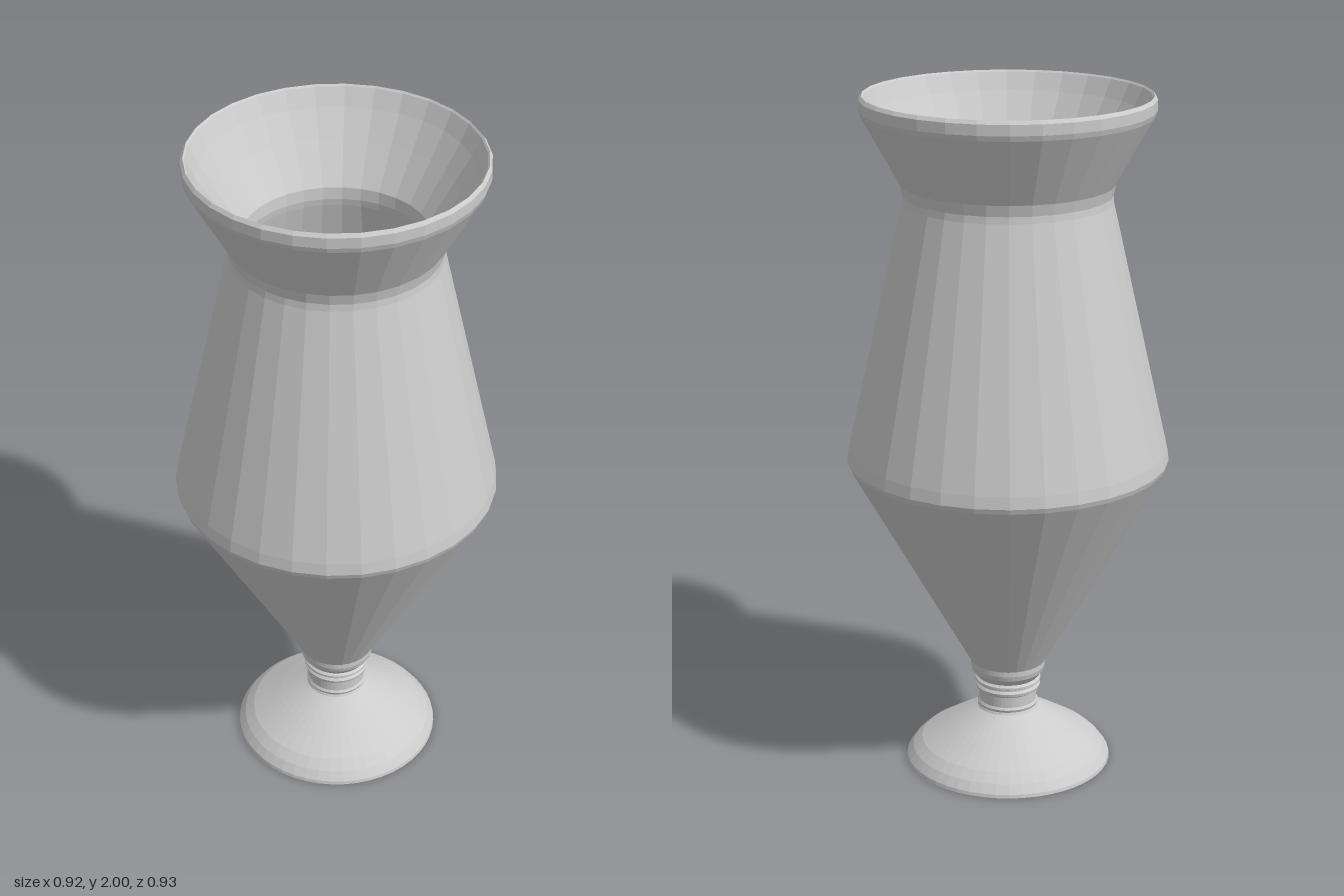
import * as THREE from 'three';

const SIDES = 30;

// Revolve a list of [radius, height] points around the y axis.
function turned(name, points, sides = SIDES) {
  const material = new THREE.MeshStandardMaterial({
    color: 0xcccccc, flatShading: true, side: THREE.DoubleSide,
  });
  const profile = points.map(([r, y]) => new THREE.Vector2(r, y));
  const mesh = new THREE.Mesh(new THREE.LatheGeometry(profile, sides), material);
  mesh.name = name;
  return mesh;
}

export function createModel() {
  const vase = new THREE.Group();
  vase.name = 'vase';

  // Domed foot with a flat underside
  vase.add(turned('foot', [
    [0, 0], [0.305, 0], [0.303, 0.01], [0.285, 0.035], [0.258, 0.06],
    [0.175, 0.112], [0.09, 0.162], [0.083, 0.175], [0, 0.175],
  ], 48));

  // Short stem with two narrow rings
  vase.add(turned('stem', [
    [0.087, 0.17], [0.09, 0.178], [0.085, 0.185], [0.085, 0.217], [0.094, 0.223],
    [0.096, 0.232], [0.09, 0.239], [0.09, 0.243], [0.097, 0.247],
    [0.097, 0.253], [0.09, 0.259], [0.106, 0.28], [0.11, 0.295], [0.11, 0.315],
  ], 48));

  // Hollow body: outer wall up to the rim, then the inner wall down to the floor
  vase.add(turned('body', [
    [0.11, 0.31], [0.46, 0.935], [0.465, 0.95], [0.46, 0.985],
    [0.297, 1.7], [0.295, 1.72], [0.302, 1.752],
    [0.408, 1.945], [0.413, 1.96], [0.413, 1.99], [0.405, 2],
    [0.4, 1.995], [0.375, 1.945], [0.33, 1.87],
    [0.258, 1.755], [0.255, 1.72], [0.258, 1.7],
    [0.422, 0.97], [0.42, 0.95], [0.07, 0.325], [0, 0.325],
  ]));

  return vase;
}
